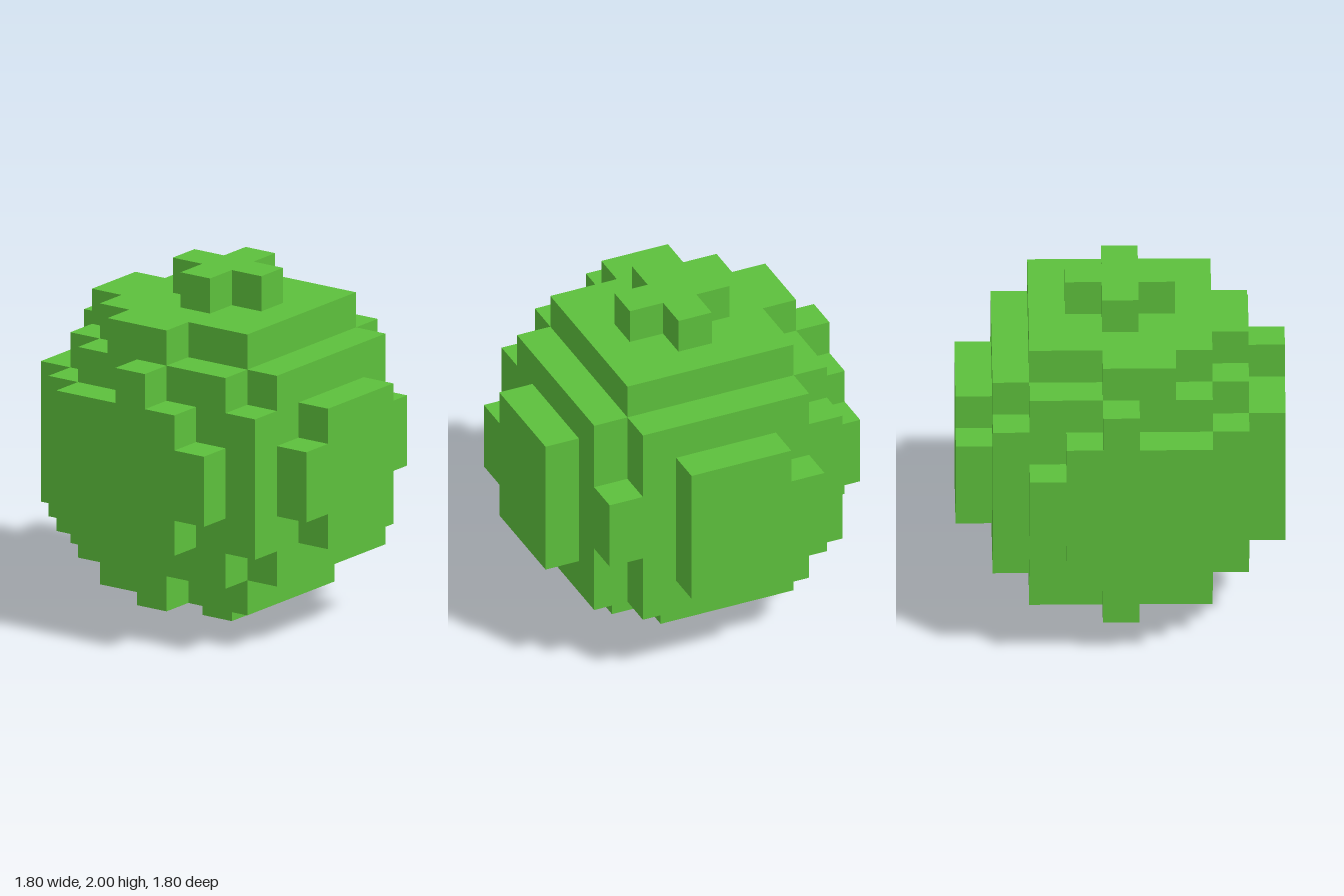
import * as THREE from 'three';
import { mergeGeometries } from 'three/addons/utils/BufferGeometryUtils.js';

const CUBE = 0.2;

// Block ball: a cell is filled when it lies inside a slightly off-centre sphere
const filled = (i, k, j) =>
  (i + 0.1) ** 2 + (k - 4.55) ** 2 + (j + 0.1) ** 2 < 21.27;

// One outward-facing square for each of the six cube sides
const SIDES = [
  [1, 0, 0], [-1, 0, 0], [0, 1, 0], [0, -1, 0], [0, 0, 1], [0, 0, -1],
].map(([x, y, z]) => {
  const normal = new THREE.Vector3(x, y, z);
  const turn = new THREE.Quaternion().setFromUnitVectors(new THREE.Vector3(0, 0, 1), normal);
  const square = new THREE.PlaneGeometry(CUBE, CUBE)
    .translate(0, 0, CUBE / 2)
    .applyQuaternion(turn);
  return { x, y, z, square };
});

// Collect only the cube sides that touch open air
function blockBallGeometry() {
  const faces = [];
  for (let k = 0; k < 10; k++)
    for (let i = -4; i <= 4; i++)
      for (let j = -4; j <= 4; j++) {
        if (!filled(i, k, j)) continue;
        for (const { x, y, z, square } of SIDES) {
          if (filled(i + x, k + y, j + z)) continue;
          faces.push(square.clone().translate(i * CUBE, (k + 0.5) * CUBE, j * CUBE));
        }
      }
  return mergeGeometries(faces);
}

export function createModel() {
  const leafGreen = new THREE.MeshStandardMaterial({ color: 0x5dc03c });
  leafGreen.name = 'leafGreen';

  const ball = new THREE.Mesh(blockBallGeometry(), leafGreen);
  ball.name = 'blockBall';

  const model = new THREE.Group();
  model.name = 'blockBallModel';
  model.add(ball);
  return model;
}
